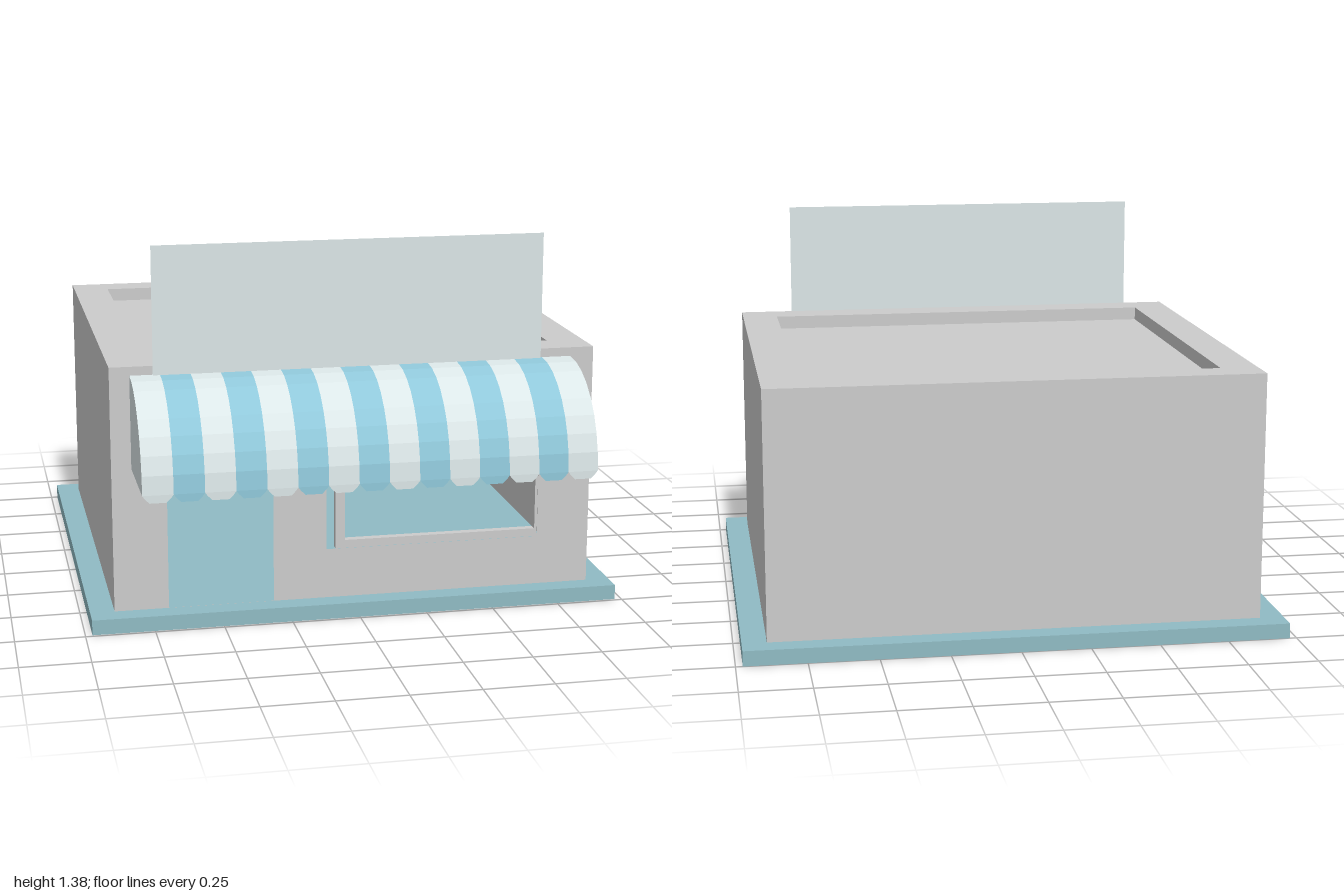
import * as THREE from 'three';

const mat = (color) => new THREE.MeshStandardMaterial({ color, side: THREE.DoubleSide, flatShading: true });
const grey = mat(0xcccccc), teal = mat(0x90bbc4), pale = mat(0xdbe6e7), blue = mat(0x90c8da);

function rect(Type, x0, y0, x1, y1) {
  const p = new Type();
  p.moveTo(x0, y0); p.lineTo(x1, y0); p.lineTo(x1, y1); p.lineTo(x0, y1); p.closePath();
  return p;
}

function add(parent, name, geometry, material) {
  const m = new THREE.Mesh(geometry, material);
  m.name = name;
  parent.add(m);
  return m;
}

export function createModel() {
  const shop = new THREE.Group();
  shop.name = 'shop';
  const W = 0.887, floorY = 0.055, topY = 0.955, zF = 0.66, zB = -0.92;
  const depth = zF - zB, height = topY - floorY, midY = (topY + floorY) / 2, midZ = (zF + zB) / 2;

  // Pavement slab
  add(shop, 'base', new THREE.BoxGeometry(1.95, floorY, 1.74), teal).position.set(0, floorY / 2, -0.13);

  // Hollow shell: front wall with door and window openings
  const front = rect(THREE.Shape, -W, floorY, W, topY);
  front.holes.push(rect(THREE.Path, -0.69, floorY + 0.0005, -0.305, 0.7));
  front.holes.push(rect(THREE.Path, -0.11, 0.24, 0.69, 0.7));
  add(shop, 'frontWall', new THREE.ShapeGeometry(front), grey).position.z = zF;

  const back = add(shop, 'backWall', new THREE.PlaneGeometry(2 * W, height), grey);
  back.position.set(0, midY, zB);
  back.rotation.y = Math.PI;
  for (const s of [-1, 1]) {
    const side = add(shop, s > 0 ? 'leftWall' : 'rightWall', new THREE.PlaneGeometry(depth, height), grey);
    side.position.set(s * W, midY, midZ);
    side.rotation.y = s * Math.PI / 2;
  }

  // Parapet around a sunken roof (shape y becomes -z)
  const rim = rect(THREE.Shape, -W, -zF, W, -zB);
  rim.holes.push(rect(THREE.Path, -0.75, -0.53, 0.75, 0.8));
  const parapet = add(shop, 'parapet', new THREE.ExtrudeGeometry(rim, { depth: 0.05, bevelEnabled: false }), grey);
  parapet.rotation.x = -Math.PI / 2;
  parapet.position.y = topY - 0.05;
  const roof = add(shop, 'roof', new THREE.PlaneGeometry(1.5, 1.33), grey);
  roof.rotation.x = -Math.PI / 2;
  roof.position.set(0, topY - 0.05, -0.135);

  // Window frame
  const frame = rect(THREE.Shape, -0.075, 0.24, 0.69, 0.7);
  frame.holes.push(rect(THREE.Path, -0.04, 0.27, 0.68, 0.67));
  add(shop, 'windowFrame', new THREE.ExtrudeGeometry(frame, { depth: 0.03, bevelEnabled: false }), grey)
    .position.z = zF - 0.032;

  // Striped quarter-round awning with a scalloped edge
  const awning = new THREE.Group();
  awning.name = 'awning';
  shop.add(awning);
  const x0 = -0.815, x1 = 0.8, stripes = 15, w = (x1 - x0) / stripes, r = 0.34, edgeY = 0.583;
  for (let i = 0; i < stripes; i++) {
    const material = i % 2 ? blue : pale, x = x0 + (i + 0.5) * w;
    const strip = add(awning, 'awningStripe',
      new THREE.CylinderGeometry(r, r, w, 8, 1, true, 0, Math.PI / 2), material);
    strip.rotation.set(0, 0, Math.PI / 2);
    strip.position.set(x, edgeY, zF);

    const s = new THREE.Shape();
    s.moveTo(-w / 2, 0);
    s.lineTo(-w * 0.42, -0.012);
    s.lineTo(-w * 0.27, -0.028);
    s.lineTo(w * 0.27, -0.028);
    s.lineTo(w * 0.42, -0.012);
    s.lineTo(w / 2, 0);
    add(awning, 'awningScallop', new THREE.ShapeGeometry(s), material).position.set(x, edgeY, zF + r);
  }
  // Closed awning ends
  for (const s of [-1, 1]) {
    const end = add(awning, 'awningEnd', new THREE.CircleGeometry(r, 8, s > 0 ? Math.PI / 2 : 0, Math.PI / 2), pale);
    end.rotation.y = s * Math.PI / 2;
    end.position.set(s > 0 ? x1 : x0, edgeY, zF);
  }

  // Blank sign board standing on the awning
  add(shop, 'signBoard', new THREE.PlaneGeometry(1.415, 0.46), pale).position.set(-0.027, 1.155, 0.68);

  return shop;
}
